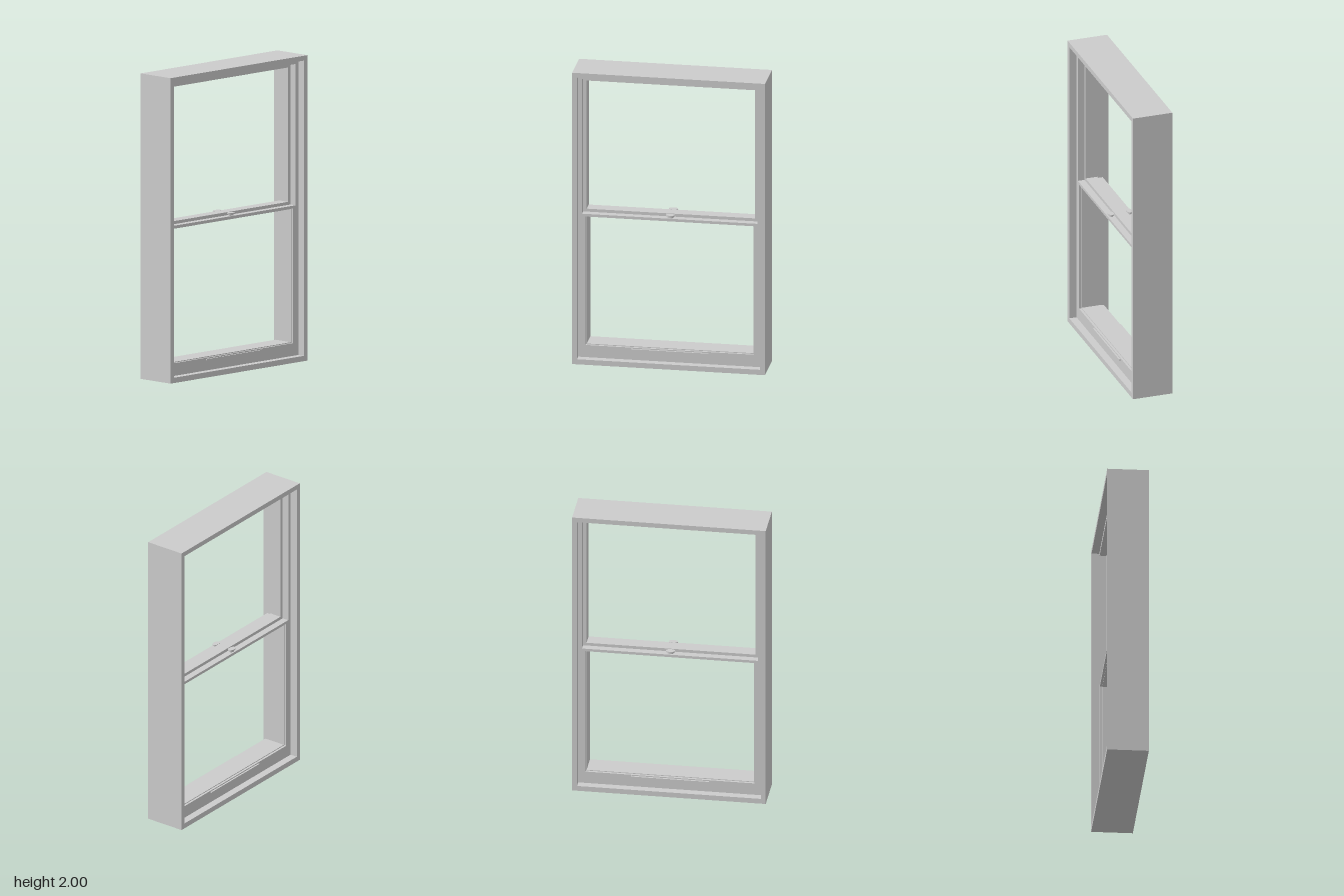
import * as THREE from 'three';

const material = new THREE.MeshStandardMaterial({ color: 0xcccccc });

// Closed rectangle outline, half width w, from y0 to y1
function rectangle(Type, w, y0, y1) {
  return new Type([[-w, y0], [w, y0], [w, y1], [-w, y1]].map(([x, y]) => new THREE.Vector2(x, y)));
}

function mesh(name, geometry) {
  const m = new THREE.Mesh(geometry, material);
  m.name = name;
  return m;
}

// Extrude a shape symmetrically about z = 0
function slab(name, shape, halfDepth) {
  const g = new THREE.ExtrudeGeometry(shape, { depth: 2 * halfDepth, bevelEnabled: false });
  g.translate(0, 0, -halfDepth);
  return mesh(name, g);
}

// Rectangular frame: outer and inner are [half width, bottom, top]
function ring(name, outer, inner, halfDepth) {
  const shape = rectangle(THREE.Shape, ...outer);
  shape.holes.push(rectangle(THREE.Path, ...inner));
  return slab(name, shape, halfDepth);
}

export function createModel() {
  const model = new THREE.Group();
  model.name = 'sashWindow';

  // Outer casing
  model.add(ring('outerFrame', [0.632, 0, 2], [0.6, 0.035, 1.968], 0.135));

  // Lower sash with a thin glazing bead around its opening
  model.add(ring('lowerSash', [0.6, 0.035, 1.018], [0.552, 0.118, 1], 0.085));
  model.add(ring('glazingBead', [0.552, 0.118, 1], [0.547, 0.123, 0.995], 0.07));

  // Jamb liner above the lower sash, open at the bottom
  const liner = new THREE.Shape([
    [-0.6, 1.018], [-0.575, 1.018], [-0.575, 1.943], [0.575, 1.943],
    [0.575, 1.018], [0.6, 1.018], [0.6, 1.968], [-0.6, 1.968],
  ].map(([x, y]) => new THREE.Vector2(x, y)));
  model.add(slab('jambLiner', liner, 0.085));

  // Upper sash, set deeper
  model.add(ring('upperSash', [0.575, 1.018, 1.943], [0.552, 1.038, 1.918], 0.04));

  // Hardware on both faces
  for (const side of [1, -1]) {
    const lock = new THREE.Group();
    lock.name = side > 0 ? 'frontLock' : 'backLock';
    const base = mesh('lockBase', new THREE.CylinderGeometry(0.02, 0.02, 0.012, 24));
    base.position.y = 0.006;
    const cap = mesh('lockCap', new THREE.CylinderGeometry(0.03, 0.03, 0.008, 32));
    cap.position.y = 0.015;
    cap.scale.z = base.scale.z = 0.65;
    lock.add(base, cap);
    lock.position.set(0, 1.018, side * 0.063);

    const lift = mesh(side > 0 ? 'frontLiftRail' : 'backLiftRail', new THREE.BoxGeometry(0.51, 0.008, 0.012));
    lift.position.set(0, 0.107, side * 0.09);
    model.add(lock, lift);
  }
  return model;
}
